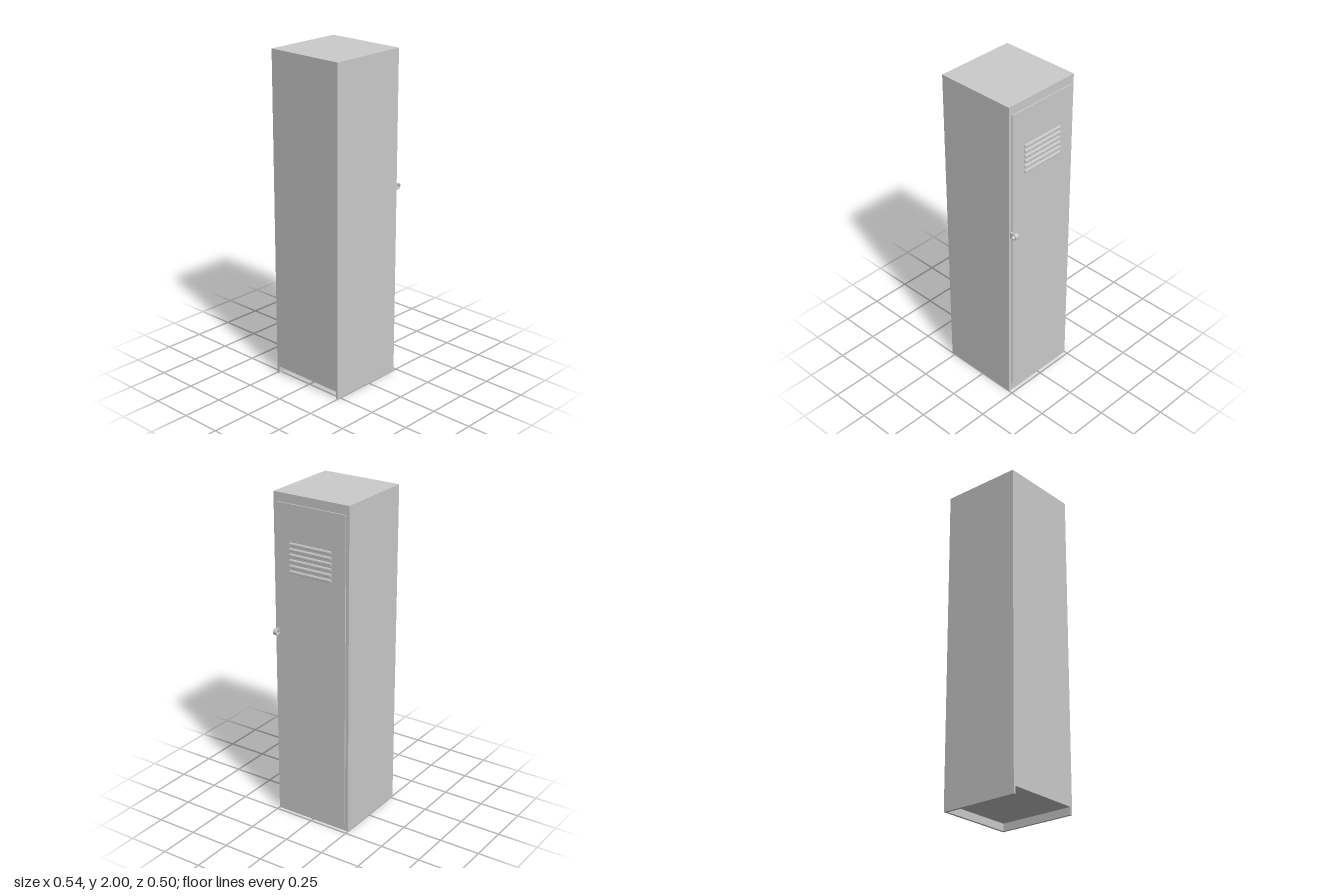
import * as THREE from 'three';

const material = new THREE.MeshStandardMaterial({ color: 0xcccccc });

// Main sizes: the door is on the +x side
const BACK = -0.272, FACE = 0.227, DOOR = 0.234, HALF = 0.25;
const WALL = 0.015, FLOOR = 0.045, TOP = 2;

function add(group, name, geometry) {
  const mesh = new THREE.Mesh(geometry, material);
  mesh.name = name;
  group.add(mesh);
  return mesh;
}

// Box given by its lower and upper corners
function block(group, name, [x0, y0, z0], [x1, y1, z1]) {
  const mesh = add(group, name, new THREE.BoxGeometry(x1 - x0, y1 - y0, z1 - z0));
  mesh.position.set((x0 + x1) / 2, (y0 + y1) / 2, (z0 + z1) / 2);
  return mesh;
}

// Straight extrusion along z, centred on z
function extrude(shape, depth) {
  const geometry = new THREE.ExtrudeGeometry(shape, { depth, bevelEnabled: false, curveSegments: 20 });
  return geometry.translate(0, 0, -depth / 2);
}

export function createModel() {
  const model = new THREE.Group();
  model.name = 'locker';

  // Cabinet with a raised floor, open below at the rear: one U-shaped skirt
  const skirt = new THREE.Shape([
    [BACK, -HALF], [FACE, -HALF], [FACE, HALF], [BACK, HALF],
    [BACK, HALF - WALL], [FACE - WALL, HALF - WALL],
    [FACE - WALL, -HALF + WALL], [BACK, -HALF + WALL],
  ].map(([x, z]) => new THREE.Vector2(x, -z)));
  const skirtGeometry = new THREE.ExtrudeGeometry(skirt, { depth: FLOOR, bevelEnabled: false });
  skirtGeometry.rotateX(-Math.PI / 2);
  add(model, 'baseSkirt', skirtGeometry);
  block(model, 'cabinet', [BACK, FLOOR, -HALF], [FACE, TOP, HALF]);

  // Door panel standing slightly proud of the cabinet
  block(model, 'door', [FACE, 0.055, -0.23], [DOOR, 1.947, 0.229]);

  // Row of vent louvres, chamfered along the upper edge
  const louvreShape = new THREE.Shape([
    [0, -0.018], [0.007, -0.018], [0.008, -0.016], [0.008, -0.007], [0.005, -0.001], [0, 0],
  ].map(([x, y]) => new THREE.Vector2(x, y)));
  const louvreGeometry = extrude(louvreShape, 0.277);
  const vents = new THREE.Group();
  vents.name = 'vents';
  for (let i = 0; i < 6; i++) {
    add(vents, 'louvre', louvreGeometry).position.set(DOOR, 1.728 - i * 0.0325, -0.001);
  }
  model.add(vents);

  // Ring handle on a small mounting plate
  const handle = new THREE.Group();
  handle.name = 'handle';
  const ring = new THREE.Shape().absarc(0, 0, 0.019, 0, Math.PI * 2);
  ring.holes.push(new THREE.Path().absarc(0, 0, 0.0125, 0, Math.PI * 2, true));
  add(handle, 'handleRing', extrude(ring, 0.024)).position.set(0.253, 1.178, 0.229);
  block(handle, 'handlePlate', [FACE, 1.16, 0.217], [0.238, 1.197, 0.241]);
  model.add(handle);

  return model;
}
